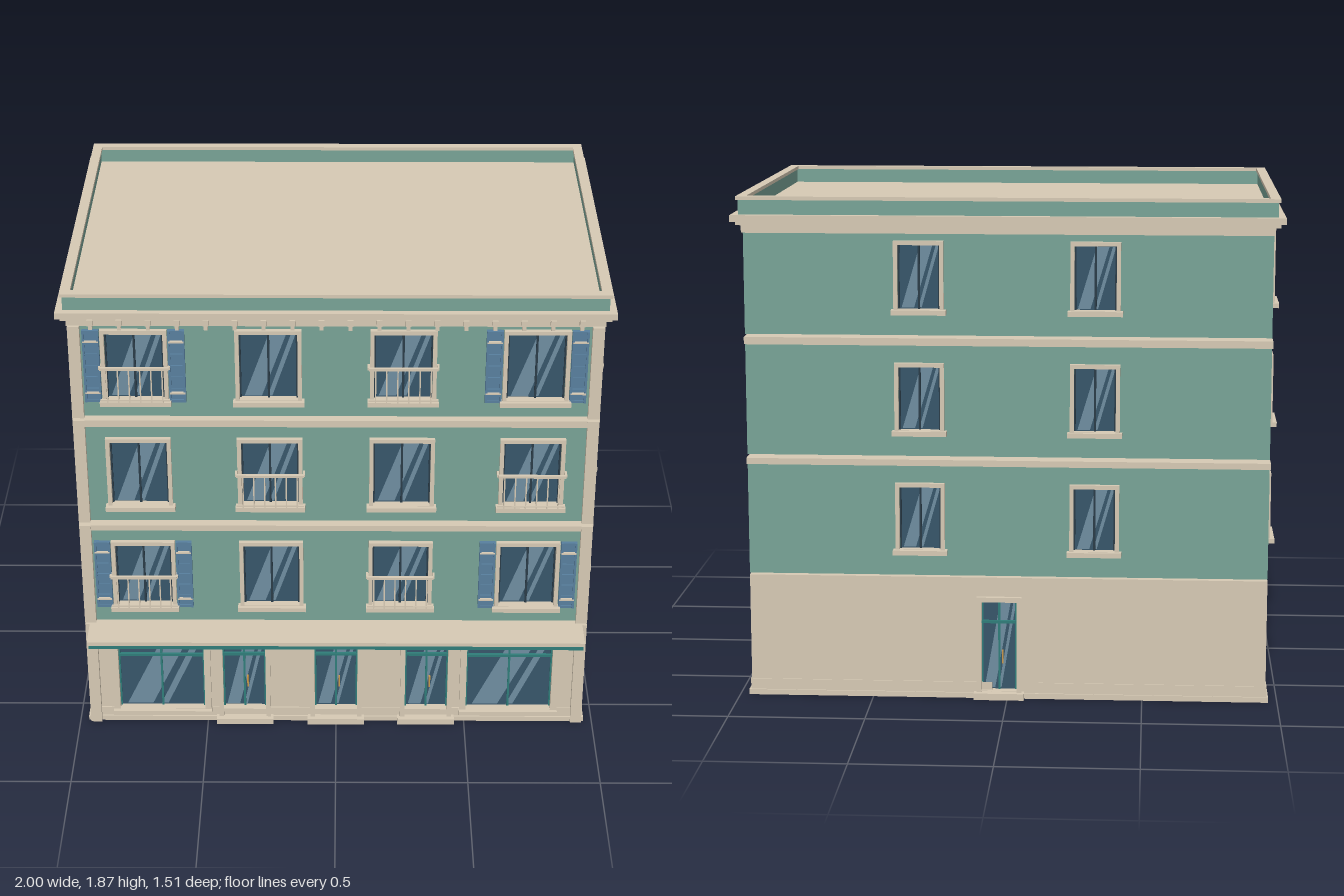
import * as THREE from 'three';

const mat = (color, side = THREE.FrontSide) => new THREE.MeshStandardMaterial({ color, side });
const M = {
  stone: mat(0xd6c9b4), green: mat(0x78a396), teal: mat(0x2f7d79), glass: mat(0x37566a),
  shine: mat(0x6f8da0, THREE.DoubleSide), dark: mat(0x2a3c48), shutter: mat(0x587f9e), brass: mat(0xc9974a),
};
const W = 1.914, D = 1.316, ZC = -0.058, T = 0.03; // body width, depth, centre z, wall thickness

function add(parent, name, geometry, material) {
  const mesh = new THREE.Mesh(geometry, material);
  mesh.name = name;
  parent.add(mesh);
  return mesh;
}

// Box given by its limits on each axis
function box(parent, name, material, x0, x1, y0, y1, z0, z1) {
  const g = new THREE.BoxGeometry(x1 - x0, y1 - y0, z1 - z0);
  g.translate((x0 + x1) / 2, (y0 + y1) / 2, (z0 + z1) / 2);
  return add(parent, name, g, material);
}

function group(parent, name) {
  const g = new THREE.Group();
  g.name = name;
  parent.add(g);
  return g;
}

function polygon(points) {
  return points.map(([x, y]) => new THREE.Vector2(x, y));
}
const rect = (x0, x1, y0, y1) => polygon([[x0, y0], [x1, y0], [x1, y1], [x0, y1]]);

// Wall panel with openings { x, w, y, h }, its outer face on local z = 0
function wall(parent, width, y0, y1, material, openings) {
  const shape = new THREE.Shape(rect(-width / 2, width / 2, y0, y1));
  for (const o of openings) shape.holes.push(new THREE.Path(rect(o.x - o.w / 2, o.x + o.w / 2, o.y, o.y + o.h)));
  const g = new THREE.ExtrudeGeometry(shape, { depth: T, bevelEnabled: false });
  g.translate(0, 0, -T);
  add(parent, 'wall', g, material);
}

// Raised surround, recessed pane with slanted reflections, and middle bar
function glazing(parent, { x, y, w, h }, name, border, bar = M.dark) {
  const g = group(parent, name);
  g.position.set(x, y, 0);
  const frame = new THREE.Shape(rect(-w / 2 - border, w / 2 + border, 0, h + border));
  frame.holes.push(new THREE.Path(rect(-w / 2, w / 2, 0.001, h)));
  const fg = new THREE.ExtrudeGeometry(frame, { depth: 0.033, bevelEnabled: false });
  fg.translate(0, 0, -0.015);
  add(g, 'surround', fg, M.stone);
  box(g, 'pane', M.glass, -w / 2, w / 2, 0, h, -0.025, -0.015);
  for (const [b, t] of [[[-0.42, -0.12], [0.02, 0.32]], [[-0.02, 0.06], [0.40, 0.48]]]) {
    const s = new THREE.Shape(polygon([[b[0] * w, 0.02 * h], [b[1] * w, 0.02 * h], [t[1] * w, 0.98 * h], [t[0] * w, 0.98 * h]]));
    const streak = add(g, 'reflection', new THREE.ShapeGeometry(s), M.shine);
    streak.position.z = -0.0135;
  }
  box(g, 'middleBar', bar, -0.004, 0.004, 0, h, -0.015, -0.007);
  for (const s of [-1, 1]) box(g, 'sashStile', bar, s * (w / 2 - 0.003) - 0.003, s * (w / 2 - 0.003) + 0.003, 0, h, -0.015, -0.007);
  return g;
}

function sill(g, w, over) {
  box(g, 'sill', M.stone, -w / 2 - over, w / 2 + over, -0.018, 0, -0.01, 0.034);
}

// Low railing in front of a window
function railing(g, w) {
  const r = group(g, 'railing'), e = w / 2 + 0.02;
  box(r, 'handrail', M.stone, -e, e, 0.132, 0.142, 0.026, 0.038);
  box(r, 'bottomRail', M.stone, -e, e, 0.006, 0.012, 0.028, 0.036);
  for (const s of [-1, 1]) box(r, 'bracket', M.stone, s * e - 0.004, s * e + 0.004, 0.132, 0.142, 0, 0.03);
  for (let i = 0; i < 6; i++) {
    const x = -w / 2 + 0.005 + (i * (w - 0.01)) / 5;
    box(r, 'baluster', M.stone, x - 0.0025, x + 0.0025, 0, 0.134, 0.0295, 0.0345);
  }
}

function shutters(g, w, h) {
  for (const s of [-1, 1]) {
    const sh = group(g, 'shutter'), c = s * (w / 2 + 0.048), y0 = -0.008, y1 = h + 0.014;
    box(sh, 'panel', M.shutter, c - 0.03, c + 0.03, y0, y1, 0, 0.01);
    for (const k of [-1, 1]) box(sh, 'stile', M.shutter, c + k * 0.026 - 0.004, c + k * 0.026 + 0.004, y0, y1, 0, 0.018);
    for (let i = 0; i < 7; i++) {
      const y = y0 + (i * (y1 - y0 - 0.01)) / 6;
      box(sh, 'slat', M.shutter, c - 0.022, c + 0.022, y, y + 0.01, 0, 0.016);
    }
    for (const y of [0.03, h - 0.03]) box(sh, 'hinge', M.stone, c - 0.028, c + 0.028, y - 0.003, y + 0.003, 0.01, 0.02);
  }
}

function door(parent, o) {
  const g = glazing(parent, o, 'door', 0.018, M.teal);
  box(g, 'transomBar', M.teal, -o.w / 2, o.w / 2, 0.75 * o.h, 0.75 * o.h + 0.01, -0.015, -0.003);
  box(g, 'handle', M.brass, 0.01, 0.016, 0.3 * o.h, 0.45 * o.h, -0.01, 0.002);
  box(g, 'step', M.stone, -o.w / 2 - 0.028, o.w / 2 + 0.028, -o.y, 0.025 - o.y, -0.01, 0.036);
  for (const s of [-1, 1]) box(g, 'jambBase', M.stone, s * (o.w / 2 + 0.009) - 0.009, s * (o.w / 2 + 0.009) + 0.009, 0.02 - o.y, 0, 0, 0.018);
}

// Solid ring-like slab around the body, out by a margin
function slab(parent, name, material, m, y0, y1) {
  return box(parent, name, material, -W / 2 - m, W / 2 + m, y0, y1, ZC - D / 2 - m, ZC + D / 2 + m);
}

export function createModel() {
  const root = new THREE.Group();
  root.name = 'building';

  // Four facades, each with local +z pointing outwards
  const facade = (name, x, z, turn) => {
    const g = group(root, name);
    g.position.set(x, 0, z);
    g.rotation.y = turn;
    return g;
  };
  const front = facade('frontFacade', 0, ZC + D / 2, 0);
  const back = facade('backFacade', 0, ZC - D / 2, Math.PI);
  const sides = [facade('leftFacade', W / 2, ZC, Math.PI / 2), facade('rightFacade', -W / 2, ZC, -Math.PI / 2)];

  // Ground floor
  const shops = [-0.675, 0.67].map((x) => ({ x, w: 0.33, y: 0.06, h: 0.32 }));
  const doors = [-0.355, 0, 0.35].map((x) => ({ x, w: 0.165, y: 0.06, h: 0.32 }));
  const backDoor = { x: -0.03, w: 0.13, y: 0.03, h: 0.34 };
  const sideWindow = { x: 0.293, w: 0.165, y: 0.165, h: 0.205 };
  wall(front, W, 0, 0.46, M.stone, [...shops, ...doors]);
  wall(back, W, 0, 0.46, M.stone, [backDoor]);
  for (const o of shops) {
    const g = glazing(front, o, 'shopWindow', 0.025, M.teal);
    box(g, 'transomBar', M.teal, -o.w / 2, o.w / 2, 0.235, 0.245, -0.015, -0.003);
    sill(g, o.w, 0.026);
  }
  doors.forEach((o) => door(front, o));
  door(back, backDoor);
  for (const side of sides) {
    wall(side, D - 2 * T, 0, 0.46, M.stone, [sideWindow]);
    sill(glazing(side, sideWindow, 'groundWindow', 0.015), sideWindow.w, 0.024);
  }
  slab(root, 'groundCore', M.stone, -T, 0, 0.458);
  slab(root, 'base', M.stone, 0.01, 0, 0.02);
  for (const side of sides) box(side, 'plinth', M.stone, -D / 2, D / 2, 0.02, 0.06, 0, 0.004);
  box(front, 'plinth', M.stone, -W / 2, W / 2, 0.02, 0.058, 0, 0.004);
  for (const [a, b] of [[-W / 2, -0.056], [0.116, W / 2]]) box(back, 'plinth', M.stone, a, b, 0.02, 0.06, 0, 0.004);

  // Canopy and blank sign boards over the shops
  const canopy = group(front, 'canopy');
  box(canopy, 'canopySlab', M.stone, -0.94, 0.94, 0.453, 0.468, -0.005, 0.155);
  box(canopy, 'canopyLip', M.teal, -0.935, 0.935, 0.436, 0.453, 0.09, 0.152);
  box(canopy, 'fascia', M.teal, -0.915, 0.915, 0.43, 0.453, 0, 0.012);
  for (const s of [-1, 1]) box(front, 'signBoard', M.teal, s * 0.535 - 0.257, s * 0.535 + 0.257, 0.395, 0.432, 0, 0.024);

  // Upper floors: bottom, wall top, band top
  const floors = [[0.467, 0.879, 0.902], [0.916, 1.325, 1.352], [1.363, 1.735, 1.735]];
  const columns = [-0.725, -0.243, 0.243, 0.722];
  floors.forEach(([y0, y1, y2], f) => {
    const frontW = columns.map((x) => ({ x, w: 0.21, y: 0.544 + 0.446 * f, h: 0.268 }));
    const plain = (x) => ({ x, w: 0.152, y: 0.566 + 0.446 * f, h: 0.235 });
    wall(front, W, y0, y1, M.green, frontW);
    frontW.forEach((o, i) => {
      const g = glazing(front, o, 'frontWindow', 0.015);
      sill(g, o.w, 0.024);
      if (f % 2 === i % 2) railing(g, o.w);
      if (f !== 1 && (i === 0 || i === 3)) shutters(g, o.w, o.h);
    });
    for (const [face, width, xs] of [[back, W, [-0.32, 0.32]], [sides[0], D - 2 * T, [-0.33, 0, 0.33]], [sides[1], D - 2 * T, [-0.33, 0, 0.33]]]) {
      const list = xs.map(plain);
      wall(face, width, y0, y1, M.green, list);
      for (const o of list) sill(glazing(face, o, 'window', 0.015), o.w, 0.024);
    }
    slab(root, 'floorCore', M.green, -T, y0 + 0.001, y1);
    if (y2 > y1) {
      slab(root, 'stringCourse', M.stone, 0.004, y1, y2);
      box(front, 'frontBand', M.stone, -W / 2, W / 2, y1, y2, 0, 0.016);
    }
  });

  // Corner strips on the front
  for (const [y0, y1] of [[0, 0.46], [0.467, 0.902], [0.916, 1.352], [1.363, 1.735]])
    for (const s of [-1, 1]) box(front, 'cornerStrip', M.stone, s * 0.937 - 0.0215, s * 0.937 + 0.0215, y0, y1, 0, 0.02);

  // Cornice with brackets
  slab(root, 'frieze', M.stone, 0.006, 1.733, 1.765);
  slab(root, 'corniceStep', M.stone, 0.024, 1.762, 1.776);
  slab(root, 'cornice', M.stone, 0.041, 1.776, 1.8);
  for (let i = 0; i < 18; i++) {
    const x = -0.876 + i * 0.1031;
    box(front, 'bracket', M.stone, x - 0.01, x + 0.01, 1.745, 1.768, 0, 0.032);
    box(front, 'bracketFoot', M.stone, x - 0.007, x + 0.007, 1.722, 1.745, 0, 0.018);
  }

  // Parapet around the flat roof
  const ring = (name, material, out, inn, y0, y1) => {
    const [w, d, iw, id] = [W / 2 + out, D / 2 + out, W / 2 - inn, D / 2 - inn];
    const s = new THREE.Shape(rect(-w, w, -d, d));
    s.holes.push(new THREE.Path(rect(-iw, iw, -id, id)));
    const g = new THREE.ExtrudeGeometry(s, { depth: y1 - y0, bevelEnabled: false });
    g.rotateX(-Math.PI / 2);
    g.translate(0, y0, ZC);
    add(root, name, g, material);
  };
  ring('parapet', M.green, 0.014, 0.008, 1.8, 1.853);
  ring('parapetCap', M.stone, 0.022, 0.014, 1.853, 1.866);

  return root;
}
